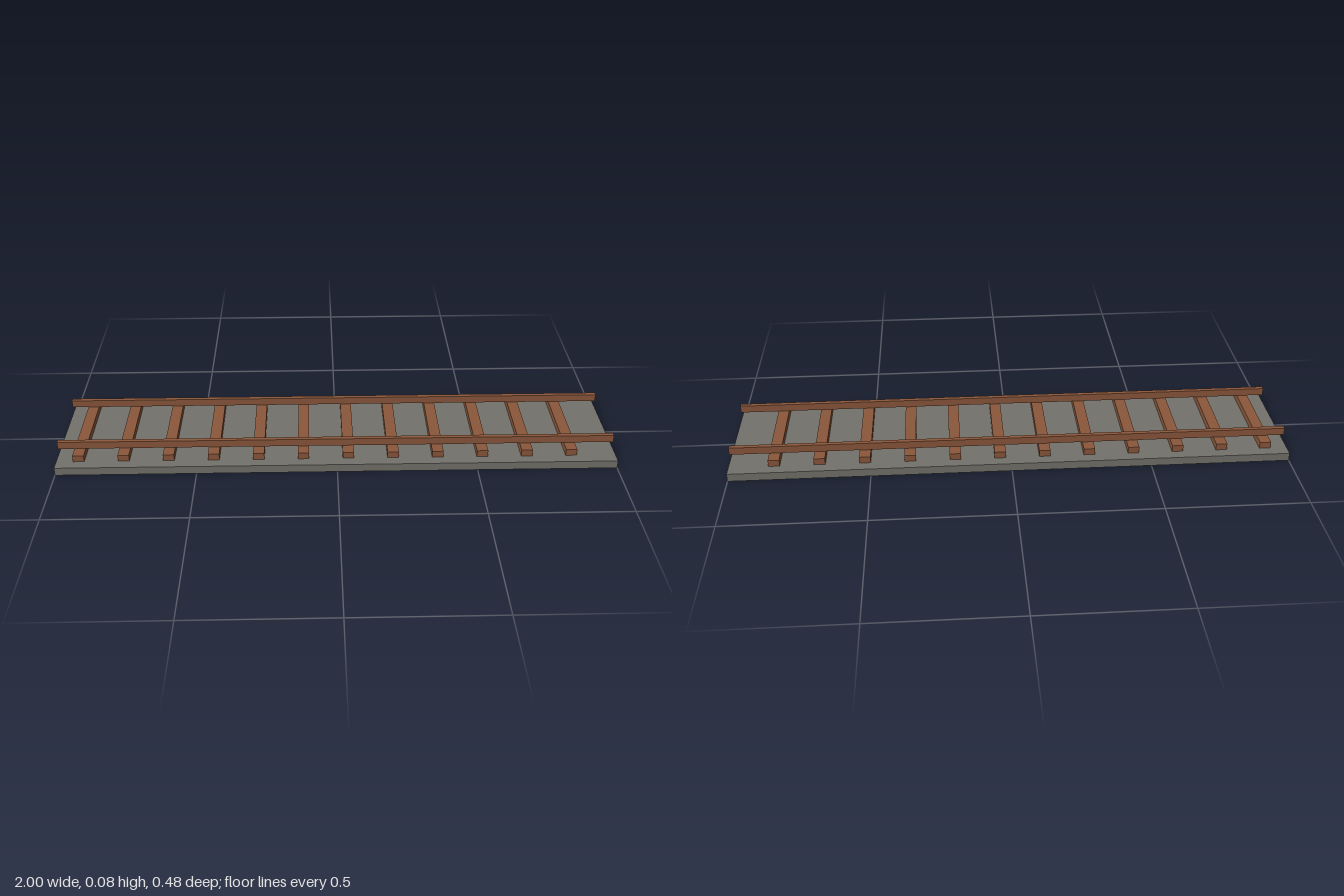
import * as THREE from 'three';

export function createModel() {
  const track = new THREE.Group();
  track.name = 'railTrack';

  const stone = new THREE.MeshStandardMaterial({ name: 'greyStone', color: 0x73726b });
  const rust = new THREE.MeshStandardMaterial({ name: 'rustBrown', color: 0x8b573b });

  // Box resting on a given height
  function addBox(name, material, [w, h, d], [x, bottom, z]) {
    const mesh = new THREE.Mesh(new THREE.BoxGeometry(w, h, d), material);
    mesh.name = name;
    mesh.position.set(x, bottom + h / 2, z);
    track.add(mesh);
  }

  // Ballast slab
  const bedHeight = 0.03;
  addBox('trackBed', stone, [2, bedHeight, 0.48], [0, 0, 0]);

  // Evenly spaced sleepers, starting near the right end
  const sleeperHeight = 0.0245;
  for (let i = 0; i < 12; i++) {
    addBox('sleeper', rust, [0.04, sleeperHeight, 0.4], [-0.92 + i * 0.16, bedHeight, 0]);
  }

  // Pair of rails on top of the sleepers
  for (const side of [1, -1]) {
    addBox(side > 0 ? 'frontRail' : 'backRail', rust,
      [2, 0.0275, 0.016], [0, bedHeight + sleeperHeight, side * 0.145]);
  }

  return track;
}
